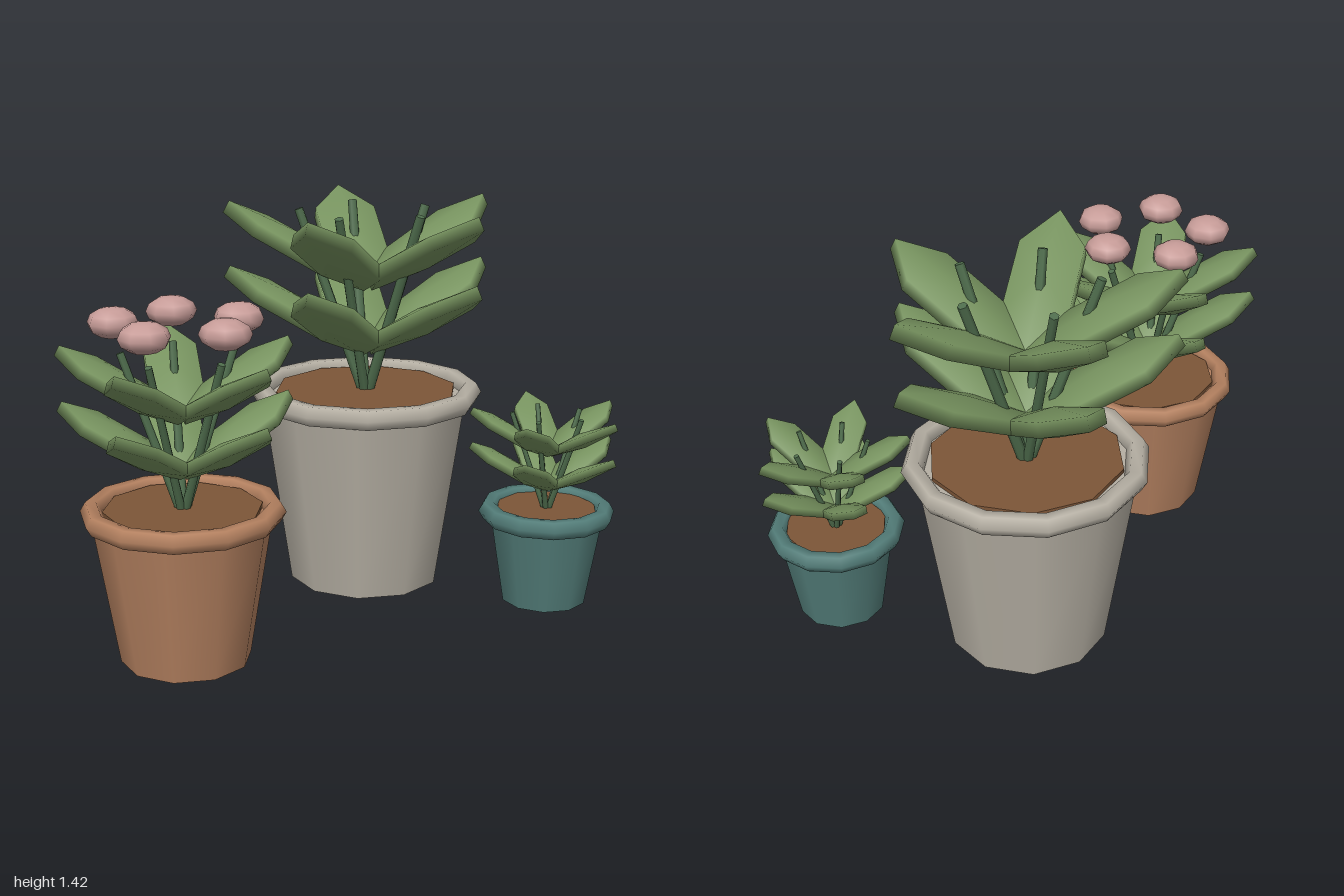
import * as THREE from 'three';

const mat = (color) => new THREE.MeshStandardMaterial({ color });
const soilMat = mat(0x7d5638), leafMat = mat(0x77935f), stemMat = mat(0x4f6d4d), flowerMat = mat(0xc79c98);

function add(parent, name, geometry, material) {
  const mesh = new THREE.Mesh(geometry, material);
  mesh.name = name;
  parent.add(mesh);
  return mesh;
}

// Tapered pot with a rolled rim and a disc of soil
function makePot({ bottom, top, height, tube, color }) {
  const pot = new THREE.Group();
  pot.name = 'pot';
  const potMat = mat(color);
  add(pot, 'potBody', new THREE.CylinderGeometry(top, bottom, height, 10), potMat).position.y = height / 2;
  const rim = add(pot, 'rim', new THREE.TorusGeometry(top, tube, 6, 12), potMat);
  rim.rotation.x = Math.PI / 2;
  rim.position.y = height;
  add(pot, 'soil', new THREE.CylinderGeometry(top * 0.87, top * 0.87, 0.03, 10), soilMat).position.y = height;
  return pot;
}

// Thick six-sided leaf, long axis along x, tilted up and outwards
const leafGeo = new THREE.SphereGeometry(1, 6, 3)
  .scale(0.333, 0.05, 0.153)
  .rotateZ(0.5)
  .translate(0.265, 0, 0);

// Slanted stem from the soil to beyond the upper leaves
const stemFoot = new THREE.Vector3(0.01, 0, 0);
const stemHead = new THREE.Vector3(0.25, 0.68, 0);
const stemDir = stemHead.clone().sub(stemFoot);
const stemGeo = new THREE.CylinderGeometry(0.017, 0.02, stemDir.length(), 6)
  .rotateZ(-Math.atan2(stemDir.x, stemDir.y))
  .translate((stemFoot.x + stemHead.x) / 2, (stemFoot.y + stemHead.y) / 2, 0);

// Five spokes, each with a stem, two leaves and perhaps a flower
function makePlant(flowers) {
  const plant = new THREE.Group();
  plant.name = 'plant';
  for (let i = 0; i < 5; i++) {
    const spoke = new THREE.Group();
    spoke.name = 'spoke';
    spoke.rotation.y = (i * Math.PI * 2) / 5;
    add(spoke, 'stem', stemGeo, stemMat);
    add(spoke, 'lowerLeaf', leafGeo, leafMat).position.y = 0.305;
    add(spoke, 'upperLeaf', leafGeo, leafMat).position.y = 0.545;
    if (flowers) {
      const flower = add(spoke, 'flower', new THREE.SphereGeometry(0.11, 8, 6), flowerMat);
      flower.scale.y = 0.6;
      flower.position.set(0.275, 0.808, 0);
    }
    plant.add(spoke);
  }
  return plant;
}

export function createModel() {
  const model = new THREE.Group();
  model.name = 'pottedPlants';
  const specs = [
    { name: 'largePottedPlant', x: 0.267, z: -0.155, size: 1, bottom: 0.283, top: 0.39, height: 0.715, tube: 0.04, color: 0xb5afa3 },
    { name: 'floweringPottedPlant', x: -0.66, z: 0.227, size: 0.78, bottom: 0.22, top: 0.305, height: 0.515, tube: 0.036, color: 0xb3805f, flowers: true },
    { name: 'smallPottedPlant', x: 0.707, z: 0.392, size: 0.54, bottom: 0.154, top: 0.21, height: 0.335, tube: 0.036, color: 0x527c78 },
  ];
  for (const spec of specs) {
    const potted = new THREE.Group();
    potted.name = spec.name;
    potted.position.set(spec.x, 0, spec.z);
    const plant = makePlant(spec.flowers);
    plant.scale.setScalar(spec.size);
    plant.position.y = spec.height;
    potted.add(makePot(spec), plant);
    model.add(potted);
  }
  return model;
}
